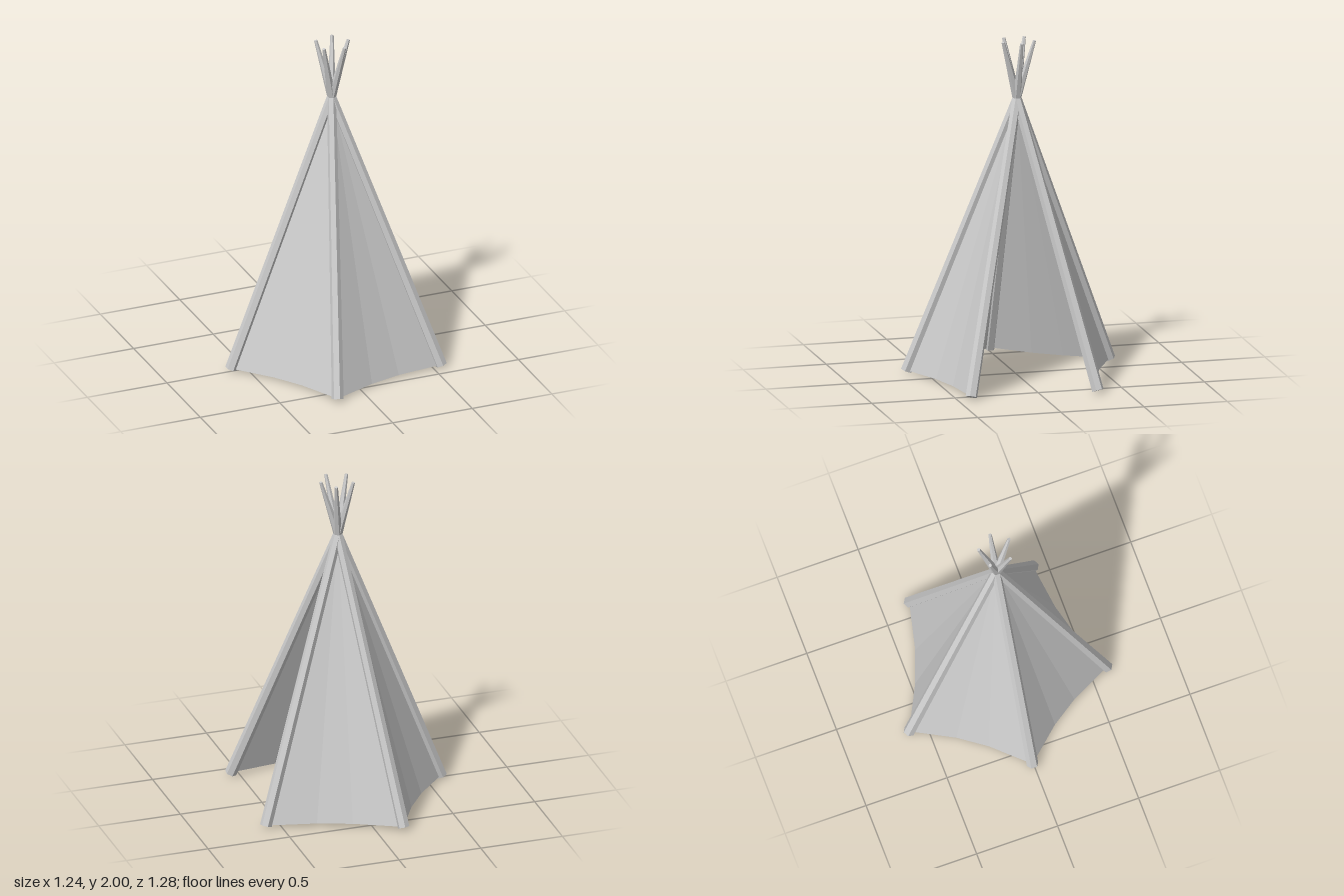
import * as THREE from 'three';

const material = new THREE.MeshStandardMaterial({ color: 0xcccccc, flatShading: true, side: THREE.DoubleSide });
const V = (x, y, z) => new THREE.Vector3(x, y, z);
const UP = V(0, 1, 0);

// Six-sided tapered rod between two points
function rod(name, from, to, r0, r1) {
  const dir = to.clone().sub(from);
  const mesh = new THREE.Mesh(new THREE.CylinderGeometry(r1, r0, dir.length(), 6), material);
  mesh.position.copy(from).add(to).multiplyScalar(0.5);
  mesh.quaternion.setFromUnitVectors(UP, dir.normalize());
  mesh.name = name;
  return mesh;
}

// Cloth panel fanning from the knot to a hem that sags inward between two poles
function panel(name, hem, apex) {
  const positions = [];
  for (let i = 0; i < hem.length - 1; i++) {
    for (const p of [apex, hem[i], hem[i + 1]]) positions.push(p.x, p.y, p.z);
  }
  const geometry = new THREE.BufferGeometry();
  geometry.setAttribute('position', new THREE.Float32BufferAttribute(positions, 3));
  geometry.computeVertexNormals();
  const mesh = new THREE.Mesh(geometry, material);
  mesh.name = name;
  return mesh;
}

export function createModel() {
  const tent = new THREE.Group();
  tent.name = 'tent';
  const knot = V(0.035, 1.65, 0);

  // Pole feet and the tips that come out on the far side of the knot
  const feet = [[0.59, -0.335], [-0.16, -0.61], [-0.595, -0.007], [-0.18, 0.605], [0.55, 0.415]]
    .map(([x, z]) => V(x, 0.014, z));
  const tips = [[-0.038, 0.06], [0.077, 0.094], [0.14, 0], [0.077, -0.094], [-0.038, -0.064]]
    .map(([x, z]) => V(x, 1.997, z));

  feet.forEach((foot, i) => {
    const pole = new THREE.Group();
    pole.name = 'pole' + (i + 1);
    pole.add(rod('poleShaft', foot, knot, 0.035, 0.027));
    pole.add(rod('poleTip', knot, tips[i], 0.026, 0.01));
    tent.add(pole);
  });

  // Four cloth panels; the side between the last and first pole stays open
  const apex = V(0.035, 1.65, 0);
  for (let i = 0; i < feet.length - 1; i++) {
    const a = feet[i], b = feet[i + 1];
    const hem = [0, 0.36, 0.64, 1].map((t) => {
      const p = a.clone().lerp(b, t);
      const sag = t > 0 && t < 1 ? 0.93 : 1;
      return V(0.035 + (p.x - 0.035) * sag, 0.015, p.z * sag);
    });
    tent.add(panel('clothPanel' + (i + 1), hem, apex));
  }
  return tent;
}
